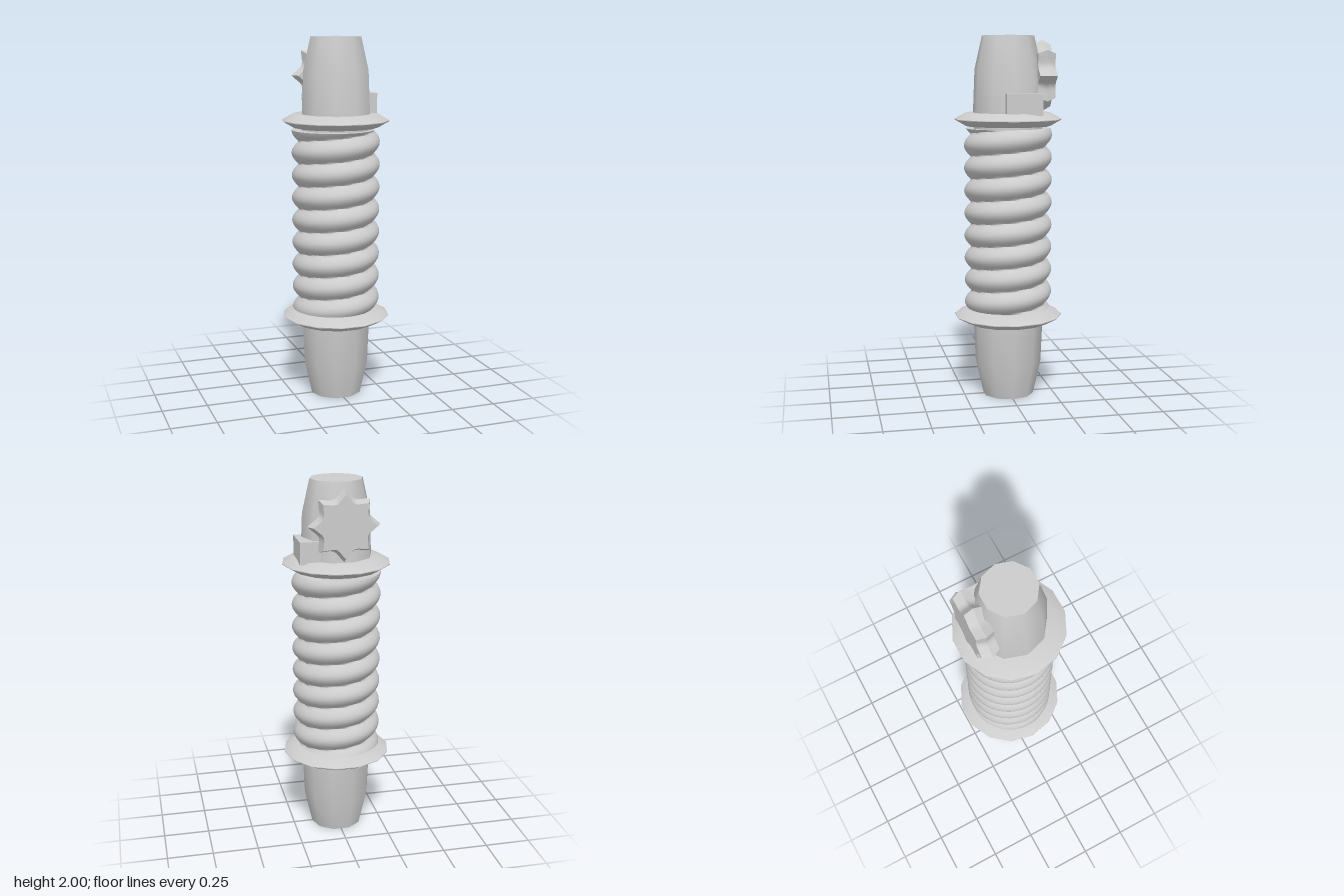
import * as THREE from 'three';
import { toCreasedNormals } from 'three/addons/utils/BufferGeometryUtils.js';

const metal = new THREE.MeshStandardMaterial({ color: 0xcccccc });
metal.name = 'light grey metal';

function add(group, name, geometry) {
  const mesh = new THREE.Mesh(geometry, metal);
  mesh.name = name;
  group.add(mesh);
  return mesh;
}

// Turned part with a corner on the x axis; profile runs bottom to top
function turned(points, sides) {
  const profile = points.map(([r, y]) => new THREE.Vector2(r, y));
  return toCreasedNormals(new THREE.LatheGeometry(profile, sides, Math.PI / 2), 0.75);
}

// Cylinder whose surface is pushed out along a rising spiral
function spiralGrip() {
  const geo = new THREE.CylinderGeometry(1, 1, 1, 40, 96);
  geo.translate(0, 1, 0);
  const pos = geo.attributes.position;
  const pitch = 0.125;
  for (let i = 0; i < pos.count; i++) {
    const x = pos.getX(i), y = pos.getY(i), z = pos.getZ(i);
    if (Math.hypot(x, z) < 0.5) continue;
    const turn = Math.atan2(-z, x) / (2 * Math.PI);
    const bump = Math.abs(Math.cos(Math.PI * ((y - 0.5665) / pitch - turn)));
    const r = 0.202 + 0.04 * Math.pow(bump, 0.85);
    pos.setXYZ(i, x * r, y, z * r);
  }
  return toCreasedNormals(geo, 0.95);
}

// Eight-pointed knob with scooped sides, widest in the middle
function starKnob() {
  const tips = 8, steps = 6, n = tips * steps;
  const sections = [[-0.048, 0.168], [0, 0.193], [0.048, 0.168]];
  const verts = [], index = [];
  for (const [z, size] of sections) {
    for (let i = 0; i < n; i++) {
      const a = Math.PI / 2 + (i / n) * Math.PI * 2;
      const scoop = Math.sin(Math.PI * (i % steps) / steps);
      const r = size * (1 - 0.25 * scoop);
      verts.push(r * Math.cos(a), r * Math.sin(a), z);
    }
  }
  const back = 3 * n, front = back + 1;
  verts.push(0, 0, -0.048, 0, 0, 0.048);
  for (let i = 0; i < n; i++) {
    const j = (i + 1) % n;
    for (let s = 0; s < 2; s++) {
      const a = s * n + i, b = s * n + j;
      index.push(a, b, b + n, a, b + n, a + n);
    }
    index.push(back, j, i, front, 2 * n + i, 2 * n + j);
  }
  const geo = new THREE.BufferGeometry();
  geo.setAttribute('position', new THREE.Float32BufferAttribute(verts, 3));
  geo.setIndex(index);
  return toCreasedNormals(geo, 0.5);
}

export function createModel() {
  const group = new THREE.Group();
  group.name = 'ribbedHandle';

  // Tapered ends
  add(group, 'lowerEnd', turned(
    [[0, 0], [0.143, 0], [0.185, 0.19], [0.196, 0.45], [0, 0.45]], 10));
  add(group, 'upperEnd', turned(
    [[0, 1.55], [0.195, 1.55], [0.184, 1.82], [0.143, 2], [0, 2]], 10));

  // Collars
  for (const [name, y, r] of [['lowerCollar', 0.457, 0.298], ['upperCollar', 1.55, 0.294]]) {
    add(group, name, turned([[0, y - 0.036], [0.235, y - 0.036], [r, y - 0.002],
      [r, y + 0.002], [0.235, y + 0.036], [0, y + 0.036]], 14));
  }

  // Spiral grip and the core through it
  add(group, 'spiralGrip', spiralGrip());
  const core = add(group, 'core', new THREE.CylinderGeometry(0.19, 0.19, 1.08, 24));
  core.position.y = 1;

  // Control knob at the back and block on the side
  const knob = add(group, 'starKnob', starKnob());
  knob.position.set(0, 1.785, -0.19);
  const block = add(group, 'sideBlock', new THREE.BoxGeometry(0.12, 0.12, 0.195));
  block.position.set(0.163, 1.635, -0.048);

  return group;
}
